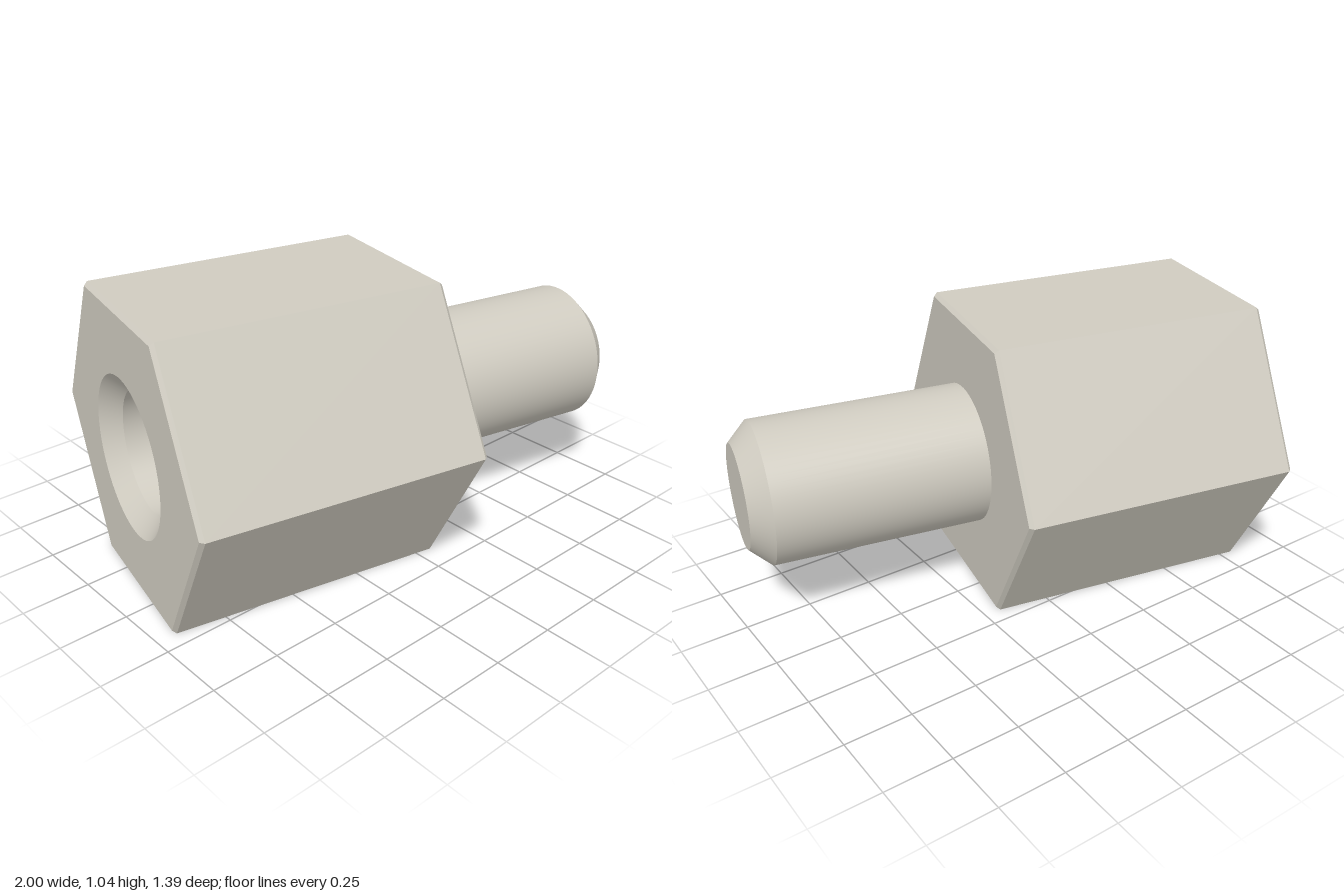
import * as THREE from 'three';
import { toCreasedNormals } from 'three/addons/utils/BufferGeometryUtils.js';

const APOTHEM = 0.5225;                      // half the width across flats
const R = APOTHEM / Math.cos(Math.PI / 6);   // hexagon corner radius
const LENGTH = 1.033;                        // hexagonal body
const STUD = 0.843;                          // stud beyond the body
const BEVEL = 0.014;
const SINK_R = 0.285, BORE_R = 0.22, BORE_DEPTH = 0.77;

// Turned profile around the y axis with crisp edges
function turned(points, sides, crease) {
  const profile = points.map(([r, y]) => new THREE.Vector2(r, y));
  return toCreasedNormals(new THREE.LatheGeometry(profile, sides), crease);
}

export function createModel() {
  const metal = new THREE.MeshStandardMaterial({ color: 0xcfcbc0 });
  metal.name = 'satin metal';
  const part = (name, geometry) => {
    const mesh = new THREE.Mesh(geometry, metal);
    mesh.name = name;
    return mesh;
  };

  const standoff = new THREE.Group();
  standoff.name = 'standoff';

  // Hexagonal body with bevelled ends, closed on the stud side
  standoff.add(part('hexBody', turned([
    [R - BEVEL, 0], [R, BEVEL], [R, LENGTH - BEVEL], [R - BEVEL, LENGTH], [0, LENGTH],
  ], 6, 0.3)));

  // Hexagonal end face around the hole
  const outline = new THREE.Shape();
  for (let i = 0; i < 6; i++) {
    const a = -i * Math.PI / 3;
    const x = (R - BEVEL) * Math.sin(a), y = (R - BEVEL) * Math.cos(a);
    if (i === 0) outline.moveTo(x, y); else outline.lineTo(x, y);
  }
  outline.closePath();
  outline.holes.push(new THREE.Path().absarc(0, 0, SINK_R, 0, Math.PI * 2, true));
  standoff.add(part('socketFace', new THREE.ShapeGeometry(outline, 32).rotateX(Math.PI / 2)));

  // Blind hole with a countersunk mouth
  standoff.add(part('socket', turned([
    [0, BORE_DEPTH], [BORE_R, BORE_DEPTH], [BORE_R, SINK_R - BORE_R], [SINK_R, 0],
  ], 64, 0.5)));

  // Round stud with a chamfered tip
  const tip = LENGTH + STUD;
  standoff.add(part('stud', turned([
    [0.26, LENGTH], [0.26, tip - 0.073], [0.19, tip], [0, tip],
  ], 64, 0.5)));

  // Lay the axis along x, turned slightly towards the front
  standoff.rotation.set(0, -THREE.MathUtils.degToRad(12), -Math.PI / 2);
  standoff.position.set(-0.875, APOTHEM, -0.108);

  const model = new THREE.Group();
  model.name = 'hexStandoff';
  model.add(standoff);
  return model;
}
